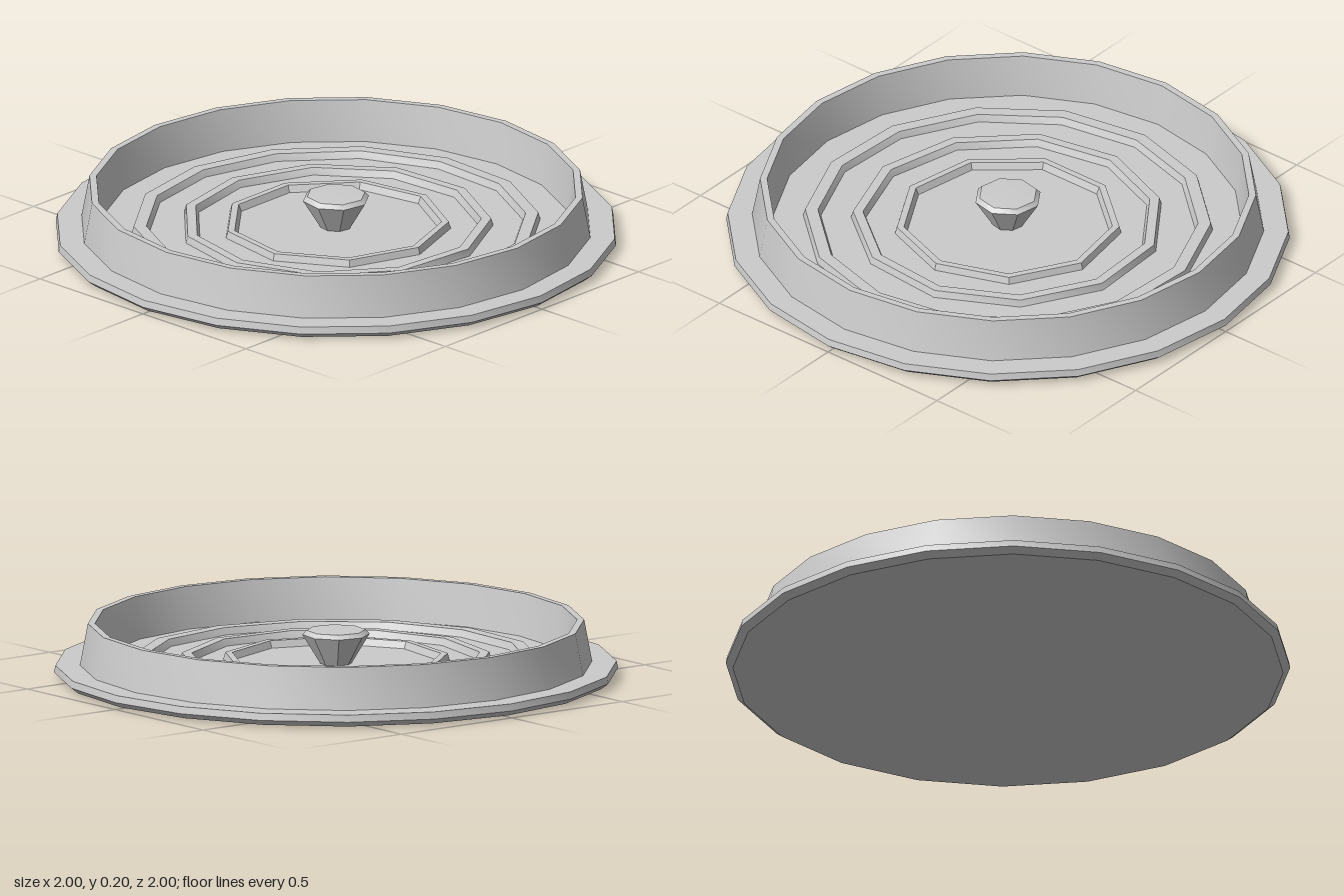
import * as THREE from 'three';
import { toCreasedNormals } from 'three/addons/utils/BufferGeometryUtils.js';

const material = new THREE.MeshStandardMaterial({ color: 0xcccccc });

// Revolve a [radius, height] profile, drawn counter-clockwise
function turned(name, profile, sides, turn = 0) {
  const points = profile.map(([r, y]) => new THREE.Vector2(r, y));
  const geometry = new THREE.LatheGeometry(points, sides, turn);
  const mesh = new THREE.Mesh(toCreasedNormals(geometry, 0.6), material);
  mesh.name = name;
  return mesh;
}

// Closed ring with a trapezoid section
function ring(name, bottomIn, bottomOut, topIn, topOut, y0, y1, sides, turn) {
  return turned(name, [
    [bottomIn, y0], [bottomOut, y0], [topOut, y1], [topIn, y1], [bottomIn, y0],
  ], sides, turn);
}

export function createModel() {
  const model = new THREE.Group();
  model.name = 'ridgedDish';

  // Flat round base with a slightly undercut edge
  model.add(turned('base', [[0, 0], [0.975, 0.005], [1, 0.025], [0.995, 0.05], [0, 0.05]], 20));

  // Tall thin outer wall
  model.add(ring('outerWall', 0.83, 0.91, 0.855, 0.88, 0.04, 0.2, 20));

  // Low concentric ridges on the floor
  const ridges = [[0.36, 0.41, 9], [0.5, 0.56, 11], [0.66, 0.73, 14]];
  ridges.forEach(([inner, outer, sides], i) => {
    model.add(ring(`floorRidge${i + 1}`, inner, outer, inner + 0.015, outer - 0.01, 0.04, 0.075, sides, i * 0.2));
  });

  // Central knob, wider at the top
  model.add(turned('centreKnob', [[0, 0.04], [0.05, 0.04], [0.12, 0.155], [0.105, 0.17], [0, 0.175]], 8, 0.2));

  return model;
}
